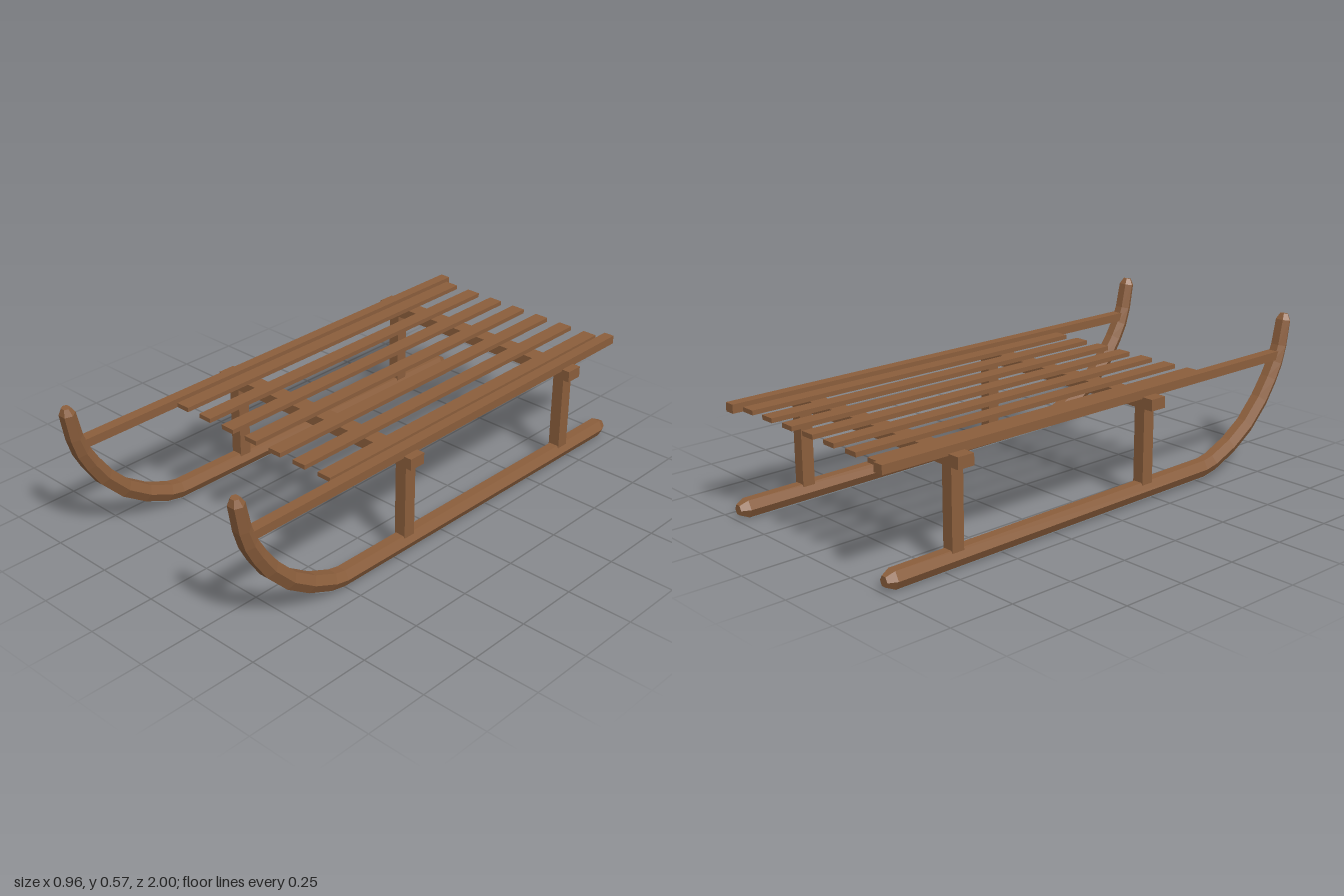
import * as THREE from 'three';

const wood = new THREE.MeshStandardMaterial({ color: 0x8b5e3c });
wood.name = 'brown wood';
const metal = new THREE.MeshStandardMaterial({ color: 0x80888e });
metal.name = 'grey steel';

// Flat-faced loft of a closed profile [x, n] along stations [z, y, scaleX, scaleN]
function loft(stations, profile) {
  const rings = stations.map(([z, y, sx = 1, sn = 1], i) => {
    const a = stations[Math.max(i - 1, 0)];
    const b = stations[Math.min(i + 1, stations.length - 1)];
    const dz = b[0] - a[0], dy = b[1] - a[1], len = Math.hypot(dz, dy);
    return profile.map(([px, pn]) => [
      px * sx, y + (pn * sn * dz) / len, z - (pn * sn * dy) / len,
    ]);
  });
  const pos = [];
  const tri = (...points) => points.forEach((p) => pos.push(...p));
  const n = profile.length;
  for (let i = 0; i < rings.length - 1; i++) {
    for (let j = 0; j < n; j++) {
      const k = (j + 1) % n;
      tri(rings[i][j], rings[i][k], rings[i + 1][k]);
      tri(rings[i][j], rings[i + 1][k], rings[i + 1][j]);
    }
  }
  const first = rings[0], last = rings[rings.length - 1];
  for (let j = 1; j < n - 1; j++) {
    tri(first[0], first[j + 1], first[j]);
    tri(last[0], last[j], last[j + 1]);
  }
  const geometry = new THREE.BufferGeometry();
  geometry.setAttribute('position', new THREE.Float32BufferAttribute(pos, 3));
  geometry.computeVertexNormals();
  return geometry;
}

function add(parent, name, geometry, material, x = 0, y = 0, z = 0) {
  const mesh = new THREE.Mesh(geometry, material);
  mesh.name = name;
  mesh.position.set(x, y, z);
  parent.add(mesh);
}

// Box given by its extents in y and z
function bar(parent, name, x, width, [y0, y1], [z0, z1]) {
  const geometry = new THREE.BoxGeometry(width, y1 - y0, z1 - z0);
  add(parent, name, geometry, wood, x, (y0 + y1) / 2, (z0 + z1) / 2);
}

export function createModel() {
  const sled = new THREE.Group();
  sled.name = 'sled';

  // Hexagonal runner with chamfered ends, curling up at the front
  const hexagon = [
    [0.035, 0], [0.018, 0.032], [-0.018, 0.032],
    [-0.035, 0], [-0.018, -0.032], [0.018, -0.032],
  ];
  const runnerPath = [
    [-0.99, 0.037, 0.55, 0.55], [-0.957, 0.037], [0.516, 0.051],
    [0.57, 0.062], [0.671, 0.105], [0.765, 0.166], [0.848, 0.251],
    [0.9, 0.326, 0.98, 0.95], [0.933, 0.385, 0.97, 0.9],
    [0.956, 0.45, 0.95, 0.82], [0.975, 0.548, 0.92, 0.75], [0.979, 0.572, 0.5, 0.4],
  ];
  const runnerGeometry = loft(runnerPath, hexagon);

  // Thin steel shoe under the runner
  const shoeGeometry = loft(
    [[-0.95, 0.037], [0.516, 0.051], [0.57, 0.062], [0.64, 0.092]],
    [[0.015, -0.037], [0.015, -0.03], [-0.015, -0.03], [-0.015, -0.037]],
  );

  const barCentres = [0.195, -0.702];

  for (const [side, x] of [['left', 0.425], ['right', -0.413]]) {
    const group = new THREE.Group();
    group.name = side + 'Side';
    group.position.x = x;
    sled.add(group);
    add(group, 'runner', runnerGeometry, wood);
    add(group, 'runnerShoe', shoeGeometry, metal);
    bar(group, 'sideRail', 0, 0.042, [0.4, 0.433], [-1, 0.94]);
    for (const z of barCentres) {
      bar(group, 'post', 0, 0.046, [0.05, 0.38], [z - 0.025, z + 0.025]);
    }
  }

  // Cross bars carrying the seat
  for (const z of barCentres) {
    bar(sled, 'crossBar', -0.001, 0.959, [0.364, 0.407], [z - 0.034, z + 0.034]);
  }

  // Seven seat slats
  for (let i = -3; i <= 3; i++) {
    bar(sled, 'seatSlat', i * 0.1177, 0.057, [0.407, 0.424], [-0.972, 0.522]);
  }

  return sled;
}
